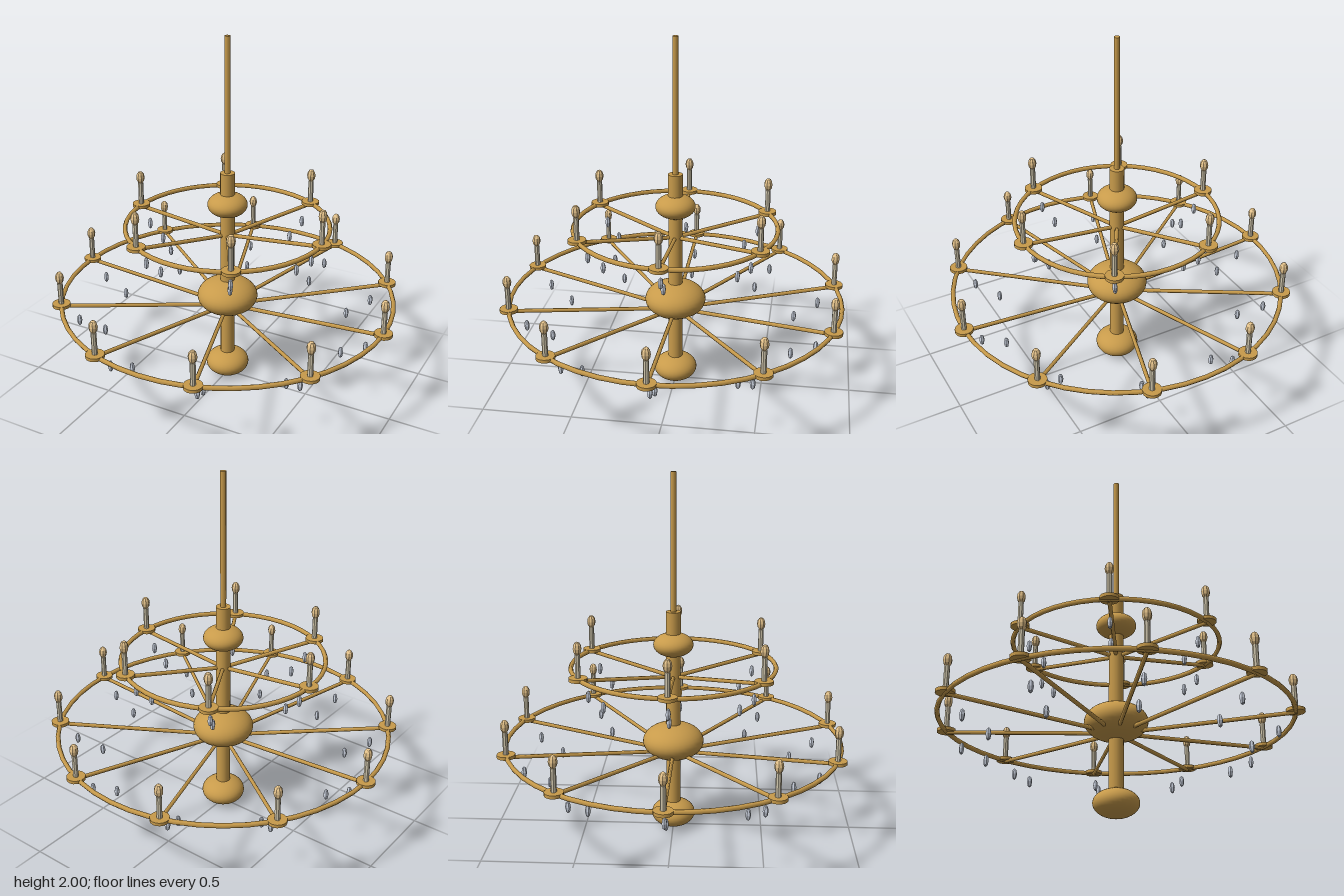
import * as THREE from 'three';

const mat = (name, color, flatShading = false) => {
  const m = new THREE.MeshStandardMaterial({ color, flatShading });
  m.name = name;
  return m;
};

export function createModel() {
  const brass = mat('brass', 0xc89b4b);
  const ivory = mat('candleIvory', 0xd2c8ae, true);
  const bulbGlow = mat('bulbGlow', 0xe6c48c, true);
  const crystalGrey = mat('crystal', 0xccd3e0, true);

  const model = new THREE.Group();
  model.name = 'chandelier';

  const add = (parent, name, geo, material, x, y, z) => {
    const mesh = new THREE.Mesh(geo, material);
    mesh.name = name;
    mesh.position.set(x, y, z);
    parent.add(mesh);
    return mesh;
  };

  // Central column and hanging rod
  add(model, 'column', new THREE.CylinderGeometry(0.04, 0.04, 1.175, 16), brass, 0, 0.6675, 0);
  add(model, 'rod', new THREE.CylinderGeometry(0.016, 0.016, 0.75, 8), brass, 0, 1.625, 0);

  // Flattened balls threaded on the column: name, height, radius, half height
  const ball = new THREE.SphereGeometry(1, 32, 20);
  for (const [name, y, r, h] of [
    ['bottomFinial', 0.076, 0.122, 0.076],
    ['hub', 0.512, 0.17, 0.102],
    ['topBall', 1.07, 0.11, 0.066],
  ]) add(model, name, ball, brass, 0, y, 0).scale.set(r, h, r);

  // Shared small parts
  const plateGeo = new THREE.CylinderGeometry(0.05, 0.05, 0.018, 16);
  const candleGeo = new THREE.CylinderGeometry(0.015, 0.015, 0.13, 8);
  const bulbGeo = new THREE.SphereGeometry(0.024, 8, 6).scale(1, 1.55, 1);
  const crystalGeo = new THREE.SphereGeometry(0.015, 6, 4).scale(1, 2.3, 1);

  // One tier: ring, sloping arms, candles and hanging crystals
  function addTier(name, count, radius, y, innerR) {
    const tier = new THREE.Group();
    tier.name = name;
    tier.position.y = y;
    model.add(tier);

    const ring = new THREE.TorusGeometry(radius, 0.013, 6, 48).rotateX(Math.PI / 2);
    add(tier, 'ring', ring, brass, 0, 0, 0);

    const arm = new THREE.TubeGeometry(new THREE.LineCurve3(
      new THREE.Vector3(innerR, -0.06, 0),
      new THREE.Vector3(radius, -0.006, 0)), 1, 0.011, 6);

    for (let i = 0; i < count; i++) {
      const spoke = new THREE.Group();
      spoke.name = 'spoke';
      spoke.rotation.y = (i / count) * Math.PI * 2;
      tier.add(spoke);
      add(spoke, 'arm', arm, brass, 0, 0, 0);
      add(spoke, 'dripPlate', plateGeo, brass, radius, 0.003, 0);
      add(spoke, 'candle', candleGeo, ivory, radius, 0.072, 0);
      add(spoke, 'bulb', bulbGeo, bulbGlow, radius, 0.17, 0);
      add(spoke, 'outerCrystal', crystalGeo, crystalGrey, radius * 0.9, -0.103, 0);
      add(spoke, 'innerCrystal', crystalGeo, crystalGrey, radius * 0.75, -0.178, 0);
    }
  }

  addTier('lowerTier', 10, 0.93, 0.515, 0.1);
  addTier('upperTier', 6, 0.56, 0.95, 0.04);

  return model;
}
